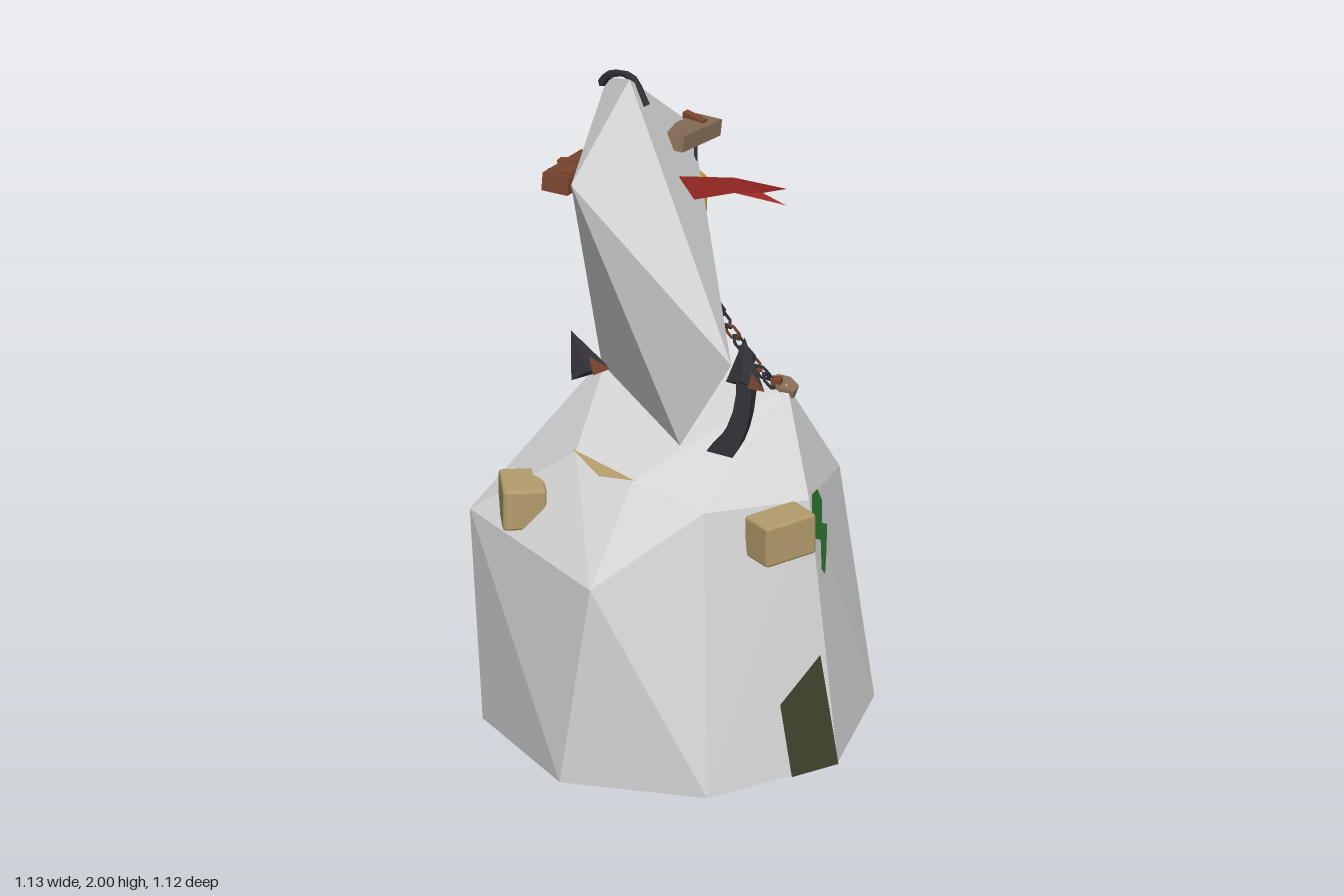
import * as THREE from 'three';
import { ConvexGeometry } from 'three/addons/geometries/ConvexGeometry.js';
import { RoundedBoxGeometry } from 'three/addons/geometries/RoundedBoxGeometry.js';

const V = (p) => new THREE.Vector3(...p);
const material = (name, color, side = THREE.FrontSide) => {
  const m = new THREE.MeshStandardMaterial({ color, side });
  m.name = name;
  return m;
};

export function createModel() {
  const model = new THREE.Group();
  model.name = 'rockSpire';
  const rock = material('paleRock', 0xd4d4d4);
  const tan = material('tanWood', 0xb39c6c, THREE.DoubleSide);
  const wood = material('weatheredWood', 0x8a7058);
  const rust = material('rustBrown', 0x7a4630);
  const iron = material('darkIron', 0x33343a);
  const red = material('flagRed', 0xa02a26, THREE.DoubleSide);
  const green = material('leafGreen', 0x2f7432, THREE.DoubleSide);
  const olive = material('darkOlive', 0x3d422c, THREE.DoubleSide);
  const gold = material('lanternGold', 0xc09a38);

  const add = (name, geometry, mat, pos = [0, 0, 0], parent = model) => {
    const mesh = new THREE.Mesh(geometry, mat);
    mesh.name = name;
    mesh.position.set(...pos);
    parent.add(mesh);
    return mesh;
  };
  const hull = (name, points, mat, parent = model) =>
    add(name, new ConvexGeometry(points.map(V)), mat, [0, 0, 0], parent);
  // Flat polygon built as a fan around its first corner
  const plate = (name, points, mat) => {
    const tris = [];
    for (let i = 1; i < points.length - 1; i++) tris.push(...points[0], ...points[i], ...points[i + 1]);
    const g = new THREE.BufferGeometry();
    g.setAttribute('position', new THREE.Float32BufferAttribute(tris, 3));
    g.computeVertexNormals();
    return add(name, g, mat);
  };
  // Square bar from a to b
  const bar = (name, a, b, w, h, mat) => {
    const from = V(a), to = V(b);
    const mesh = add(name, new THREE.BoxGeometry(w, h, from.distanceTo(to)), mat);
    mesh.position.copy(from).lerp(to, 0.5);
    mesh.lookAt(to);
    return mesh;
  };

  // Faceted base rock
  const foot = [
    [0.565, 0.18], [0.275, 0.52], [-0.17, 0.555], [-0.515, 0.23],
    [-0.545, -0.19], [-0.26, -0.52], [0.19, -0.56], [0.53, -0.27],
  ];
  hull('baseRock', [
    ...foot.map(([x, z]) => [x, 0.003, z]),
    [-0.565, 0.67, 0.2], [-0.085, 0.635, 0.53], [0.445, 0.8, 0.08],
    [0.385, 0.68, -0.385], [0.12, 0.635, -0.54], [-0.4, 0.63, -0.405],
    [0.205, 0.84, 0.335], [-0.03, 0.89, 0.297], [-0.24, 0.905, 0.19],
    [0.29, 1.03, -0.18], [-0.28, 1.02, -0.235],
  ], rock);
  // Dark patches under the base and at its foot
  plate('undersidePatch', [[-0.1, 0, 0.1], ...[3, 4, 5, 6, 7].map((i) => [foot[i][0], 0, foot[i][1]])], olive);
  plate('footPatch', [[0.568, 0, 0.18], [0.465, 0, 0.305], [0.428, 0.23, 0.302], [0.512, 0.35, 0.18]], olive);

  // Leaning spire
  hull('spire', [
    [-0.17, 2, -0.1], [-0.28, 1.93, -0.225], [-0.25, 1.785, 0.205], [-0.09, 1.7, -0.445],
    [0.235, 1.255, 0.175], [0.06, 0.94, 0.125], [-0.285, 1.0, -0.19],
  ], rock);

  // Crates wedged into the shoulders
  add('leftCrate', new RoundedBoxGeometry(0.18, 0.13, 0.115, 1, 0.01), tan, [0.4, 0.745, 0.215]).rotation.y = 0.94;
  add('rightCrate', new RoundedBoxGeometry(0.16, 0.13, 0.13, 1, 0.01), tan, [-0.39, 0.745, 0.235]).rotation.y = -1.17;
  // Half-buried wood chips
  plate('frontChip', [[-0.25, 0.915, 0.196], [-0.14, 0.882, 0.28], [-0.02, 0.897, 0.303]], tan);
  for (const [x, y, z] of [[0.09, 0.785, -0.42], [-0.1, 0.765, -0.43]])
    add('backChip', new THREE.BoxGeometry(0.09, 0.025, 0.03), tan, [x, y, z]).rotation.set(0.5, 0.1, 0);

  // Planks nailed near the top, each with a cross strap
  bar('lanternPlank', [-0.075, 1.765, -0.195], [-0.035, 1.715, -0.43], 0.085, 0.05, wood);
  bar('lanternPlankStrap', [-0.095, 1.76, -0.39], [-0.025, 1.752, -0.365], 0.022, 0.02, rust);
  bar('sidePlank', [-0.31, 1.765, 0.175], [-0.275, 1.725, -0.08], 0.085, 0.055, rust);
  for (const z of [0.13, 0.02])
    bar('sidePlankStrap', [-0.345, 1.76 - (0.13 - z) * 0.15, z], [-0.26, 1.775 - (0.13 - z) * 0.15, z + 0.01], 0.025, 0.05, rust);

  // Hanging lantern
  const lantern = new THREE.Group();
  lantern.name = 'lantern';
  lantern.position.set(-0.045, 1.53, -0.34);
  model.add(lantern);
  const drum = (name, top, bottom, h, y, mat) =>
    add(name, new THREE.CylinderGeometry(top, bottom, h, 6).toNonIndexed(), mat, [0, y, 0], lantern).geometry.computeVertexNormals();
  drum('lanternBody', 0.027, 0.024, 0.1, 0, gold);
  drum('lanternFoot', 0.034, 0.034, 0.014, -0.053, gold);
  drum('lanternRim', 0.036, 0.036, 0.012, 0.044, gold);
  drum('lanternRoof', 0.01, 0.036, 0.028, 0.064, gold);
  drum('lanternHook', 0.005, 0.005, 0.12, 0.13, iron);
  for (let i = 0; i < 6; i++) {
    const a = (i * Math.PI) / 3;
    add('lanternPost', new THREE.BoxGeometry(0.007, 0.1, 0.007), gold, [Math.sin(a) * 0.029, -0.005, Math.cos(a) * 0.029], lantern);
  }

  // Swallow-tailed flag, bent along its length
  plate('flagRoot', [[-0.025, 1.69, -0.13], [-0.025, 1.605, -0.13], [0.1, 1.59, -0.265], [0.1, 1.64, -0.265]], red);
  plate('flagTail', [[0.18, 1.592, -0.287], [0.25, 1.61, -0.3], [0.1, 1.64, -0.265], [0.1, 1.59, -0.265], [0.25, 1.56, -0.292]], red);

  // Iron strap over the peak
  const strap = new THREE.CatmullRomCurve3(
    [[-0.287, 1.925, -0.19], [-0.255, 1.968, -0.175], [-0.18, 1.985, -0.145], [-0.125, 1.91, -0.12]].map(V));
  add('peakStrap', new THREE.TubeGeometry(strap, 8, 0.013, 4), iron);

  // Curved fluke with barbed head
  const head = [[0, 0.15, 0], [-0.055, 0, 0.01], [0.065, -0.015, 0.01], [0, 0.02, 0.035], [0, 0.02, -0.03]];
  const hook = new THREE.Shape();
  hook.moveTo(0.145, 0.94);
  hook.lineTo(0.225, 0.93);
  hook.quadraticCurveTo(0.285, 1.02, 0.285, 1.2);
  hook.lineTo(0.237, 1.2);
  hook.quadraticCurveTo(0.245, 1.04, 0.145, 0.94);
  add('hookArm', new THREE.ExtrudeGeometry(hook, { depth: 0.05, bevelEnabled: false, curveSegments: 5 }), iron, [0, 0, 0.085]);
  hull('hookHead', head, iron).position.set(0.255, 1.17, 0.11);
  hull('hookRust', [[0.02, 0.0, 0.032], [0.066, -0.014, 0.012], [0.03, 0.05, 0.026], [0.04, 0, 0]], rust).position.set(0.255, 1.17, 0.11);

  // Smaller head driven in on the other side
  const spike = new THREE.Group();
  spike.name = 'sideSpike';
  spike.position.set(-0.31, 1.0, -0.135);
  spike.rotation.set(0, 0.5, 0.35);
  model.add(spike);
  hull('spikeHead', head, iron, spike);
  hull('spikeRust', [[0.01, 0.0, 0.034], [0.066, -0.014, 0.012], [0.02, 0.06, 0.026], [0.04, 0, -0.01]], rust, spike);

  // Chain from the spire down to its anchor block
  const top = V([0.05, 1.37, -0.115]), end = V([0.265, 1.02, -0.165]);
  const link = new THREE.TorusGeometry(0.019, 0.006, 4, 6);
  for (let i = 0; i < 10; i++) {
    const mesh = add('chainLink', link, i % 3 === 1 ? rust : iron);
    mesh.position.copy(top).lerp(end, i / 10);
    mesh.position.y -= 0.03 * Math.sin((Math.PI * i) / 10);
    mesh.lookAt(end);
    mesh.rotateZ((i % 2) * Math.PI / 2 + 0.4);
    mesh.rotateY(Math.PI / 2);
    mesh.scale.x = 1.45;
  }
  const block = new THREE.CylinderGeometry(0.042, 0.045, 0.045, 6).toNonIndexed();
  block.computeVertexNormals();
  add('chainBlock', block, wood, [0.275, 1.01, -0.19]).rotation.z = -0.4;
  add('chainPin', new THREE.BoxGeometry(0.03, 0.03, 0.03), rust, [0.26, 1.035, -0.175]);

  // Leaf clumps lying on the rock, given as [z, y]
  const leaf = (name, outline, xAt) => plate(name, outline.map(([z, y]) => [xAt(y, z), y, z]), green);
  leaf('leftLeaves',
    [[0.06, 0.72], [0.03, 0.78], [0.05, 0.825], [0.1, 0.83], [0.13, 0.77], [0.125, 0.7], [0.09, 0.68], [0.12, 0.6], [0.1, 0.575], [0.06, 0.63], [0.02, 0.7]],
    (y) => 0.464 - (y - 0.8) * 0.16);
  leaf('rightLeaves',
    [[-0.065, 0.745], [-0.03, 0.7], [-0.035, 0.79], [-0.06, 0.82], [-0.1, 0.81], [-0.115, 0.74], [-0.1, 0.68], [-0.06, 0.67], [-0.03, 0.7]],
    (y, z) => -0.46 + (y - 0.745) * 0.44 - (z + 0.065) * 0.3);

  return model;
}
